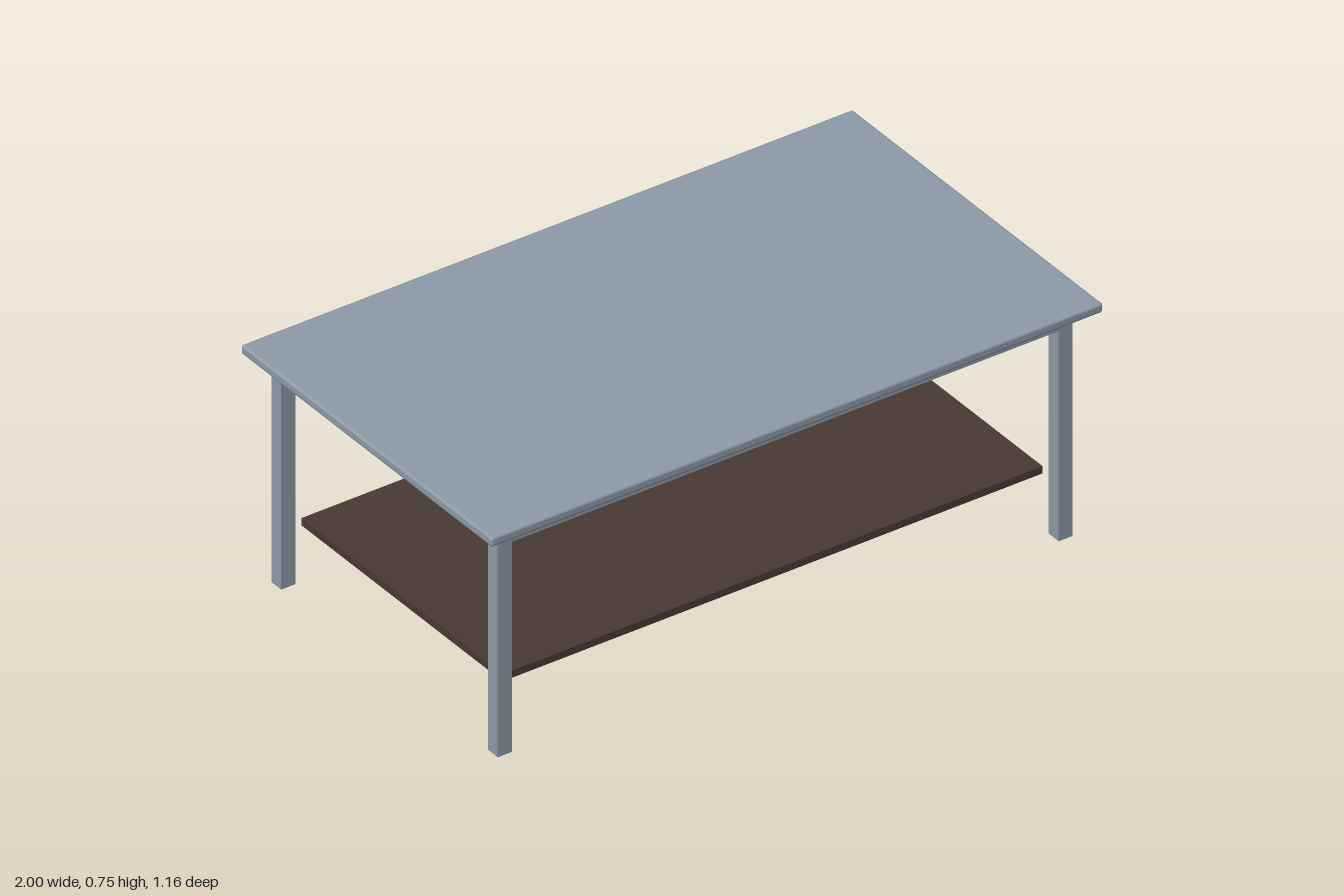
import * as THREE from 'three';
import { RoundedBoxGeometry } from 'three/addons/geometries/RoundedBoxGeometry.js';

export function createModel() {
  const table = new THREE.Group();
  table.name = 'coffeeTable';
  const greyBlue = new THREE.MeshStandardMaterial({ name: 'greyBluePaint', color: 0x8e9ba8 });
  const darkWood = new THREE.MeshStandardMaterial({ name: 'darkBrownWood', color: 0x493934 });

  const add = (name, geometry, material, x, y, z) => {
    const mesh = new THREE.Mesh(geometry, material);
    mesh.name = name;
    mesh.position.set(x, y, z);
    table.add(mesh);
  };

  const bar = 0.046;             // thickness of legs and rails
  const legX = 0.917, legZ = 0.502;
  const railBottom = 0.67, topBottom = 0.72, topHeight = 0.03;
  const railHeight = topBottom - railBottom;
  const railY = railBottom + railHeight / 2;

  // Table top with softened edges
  add('tableTop', new RoundedBoxGeometry(2, topHeight, 1.163, 3, 0.008), greyBlue,
    0, topBottom + topHeight / 2, 0);

  // Four legs
  const leg = new THREE.BoxGeometry(bar, topBottom, bar);
  for (const x of [-1, 1]) for (const z of [-1, 1]) {
    add((z > 0 ? 'front' : 'back') + (x > 0 ? 'Left' : 'Right') + 'Leg', leg, greyBlue,
      x * legX, topBottom / 2, z * legZ);
  }

  // Rails between the legs, under the top
  const longRail = new THREE.BoxGeometry(2 * legX - bar, railHeight, bar);
  const shortRail = new THREE.BoxGeometry(bar, railHeight, 2 * legZ - bar);
  for (const s of [-1, 1]) {
    add(s > 0 ? 'frontRail' : 'backRail', longRail, greyBlue, 0, railY, s * legZ);
    add(s > 0 ? 'leftRail' : 'rightRail', shortRail, greyBlue, s * legX, railY, 0);
  }

  // Lower shelf
  add('shelf', new THREE.BoxGeometry(1.765, 0.023, 0.934), darkWood, 0, 0.2015, 0);

  return table;
}
